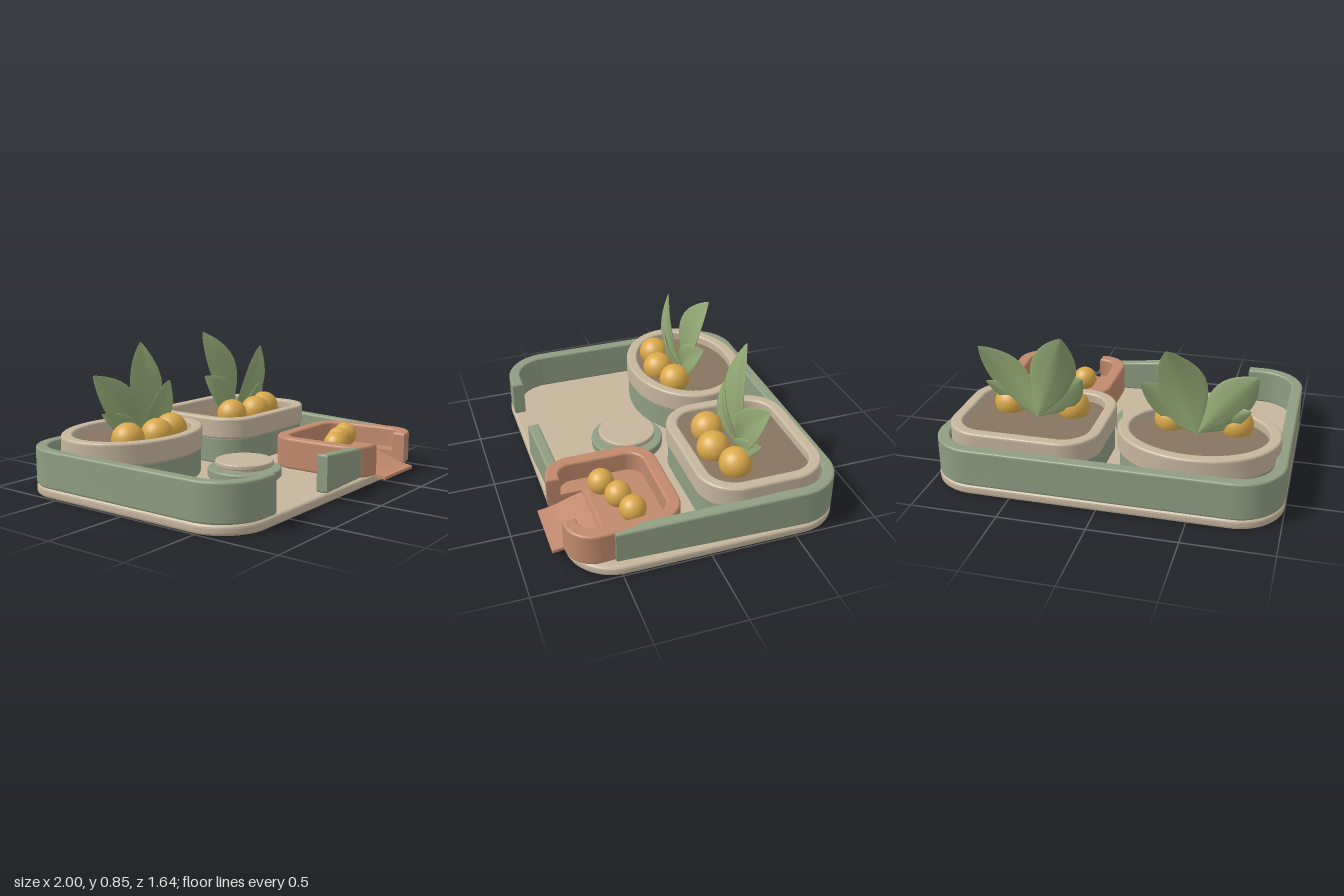
import * as THREE from 'three';
import { toCreasedNormals } from 'three/addons/utils/BufferGeometryUtils.js';

const mat = (name, color) => {
  const m = new THREE.MeshStandardMaterial({ color });
  m.name = name;
  return m;
};

// Shapes are drawn in plan: x to the right, z down (stored as -z)
function roundRect(x0, x1, z0, z1, r, Type = THREE.Shape) {
  const s = new Type();
  s.absarc(x1 - r, -z0 - r, r, 0, Math.PI / 2);
  s.absarc(x0 + r, -z0 - r, r, Math.PI / 2, Math.PI);
  s.absarc(x0 + r, -z1 + r, r, Math.PI, Math.PI * 1.5);
  s.absarc(x1 - r, -z1 + r, r, Math.PI * 1.5, Math.PI * 2);
  s.closePath();
  return s;
}

function ellipse(x, z, rx, rz, Type = THREE.Shape) {
  const s = new Type();
  s.absellipse(x, -z, rx, rz, 0, Math.PI * 2);
  return s;
}

// Strip of given thickness along a path with rounded corners
function wallShape(points, r, thickness) {
  const pts = points.map(([x, z]) => new THREE.Vector2(x, -z));
  const path = new THREE.Path();
  path.moveTo(pts[0].x, pts[0].y);
  for (let i = 1; i < pts.length - 1; i++) {
    const p = pts[i];
    const toward = (q) => p.clone().add(q.clone().sub(p).setLength(r));
    const a = toward(pts[i - 1]), b = toward(pts[i + 1]);
    const c = a.clone().lerp(p, 0.55), d = b.clone().lerp(p, 0.55);
    path.lineTo(a.x, a.y);
    path.bezierCurveTo(c.x, c.y, d.x, d.y, b.x, b.y);
  }
  const last = pts[pts.length - 1];
  path.lineTo(last.x, last.y);
  const line = path.getPoints(14);
  const side = (sign) => line.map((p, i) => {
    const t = line[Math.min(i + 1, line.length - 1)].clone().sub(line[Math.max(i - 1, 0)]).normalize();
    return new THREE.Vector2(p.x - t.y * sign * thickness / 2, p.y + t.x * sign * thickness / 2);
  });
  return new THREE.Shape([...side(1), ...side(-1).reverse()]);
}

// Upright slab from a plan shape; topRule(x, z) may lower the top edge
function slab(shape, y0, y1, bevel = 0.012, topRule = null) {
  const g = new THREE.ExtrudeGeometry(shape, {
    depth: y1 - y0 - 2 * bevel, curveSegments: 24, bevelEnabled: bevel > 0,
    bevelSize: bevel, bevelThickness: bevel, bevelOffset: -bevel, bevelSegments: 3,
  });
  g.rotateX(-Math.PI / 2);
  g.translate(0, y0 + bevel, 0);
  if (topRule) {
    const p = g.attributes.position;
    for (let i = 0; i < p.count; i++) {
      if (p.getY(i) > (y0 + y1) / 2) p.setY(i, p.getY(i) - topRule(p.getX(i), p.getZ(i)));
    }
  }
  return toCreasedNormals(g, 0.25);
}

// Pointed blade, thin, folded along the midrib, tip bent backwards
function leafGeometry(length, halfWidth) {
  const g = new THREE.SphereGeometry(1, 24, 20);
  const p = g.attributes.position;
  for (let i = 0; i < p.count; i++) {
    const v = THREE.MathUtils.clamp((p.getY(i) + 1) / 2, 0, 1);
    const ring = Math.sqrt(Math.max(1 - p.getY(i) ** 2, 1e-8));
    const w = Math.max(Math.sin(Math.PI * Math.pow(v, 1.15)), 0) ** 0.85;
    const x = (p.getX(i) / ring) * w * halfWidth;
    const z = (p.getZ(i) / ring) * w * 0.012 + Math.abs(x) * 0.22 + 0.03 * Math.sin(Math.PI * v) - 0.03 * v * v;
    p.setXYZ(i, x, v * length, z);
  }
  g.computeVertexNormals();
  return g;
}

export function createModel() {
  const sand = mat('sand', 0xc6b59c);
  const sage = mat('sage', 0x8f9d80);
  const coral = mat('coral', 0xc0896d);
  const soil = mat('soil', 0x88745f);
  const gold = mat('gold', 0xd8a84a);
  const leafGreen = mat('leafGreen', 0x91a673);

  const model = new THREE.Group();
  const add = (name, geometry, material, parent = model) => {
    const mesh = new THREE.Mesh(geometry, material);
    mesh.name = name;
    parent.add(mesh);
    return mesh;
  };
  const fruits = (list, r, y, parent) => list.forEach(([x, z]) =>
    add('fruit', new THREE.SphereGeometry(r, 32, 20), gold, parent).position.set(x, y, z));

  // Base plate
  add('base', slab(roundRect(-1, 1, -0.82, 0.745, 0.27), 0, 0.057, 0.018), sand);

  // Perimeter wall, sinking gently towards the tray on the right
  const surround = wallShape([[-0.635, 0.705], [-0.965, 0.705], [-0.965, -0.785], [0.967, -0.785], [0.918, 0.52]], 0.235, 0.07);
  add('surroundWall', slab(surround, 0.057, 0.275, 0.012,
    (x, z) => (x > 0.8 ? 0.032 * THREE.MathUtils.clamp((z + 0.5) / 1, 0, 1) : 0)), sage);
  const front = wallShape([[-0.15, 0.712], [0.28, 0.69]], 0.1, 0.065);
  add('frontWall', slab(front, 0.057, 0.275, 0.012, (x) => 0.04 * (x + 0.15) / 0.43), sage);

  // Tray with front opening and ramp
  const tray = new THREE.Group();
  tray.name = 'tray';
  model.add(tray);
  const trayWall = wallShape([[0.75, 0.72], [0.907, 0.72], [0.872, 0.14], [0.237, 0.14], [0.237, 0.72], [0.39, 0.72]], 0.13, 0.078);
  add('trayWall', slab(trayWall, 0.057, 0.247, 0.014), coral, tray);
  const floor = new THREE.Shape([[0.25, 0.15], [0.88, 0.15], [0.89, 0.7], [0.755, 0.7], [0.755, 0.56],
    [0.385, 0.56], [0.385, 0.7], [0.25, 0.7]].map(([x, z]) => new THREE.Vector2(x, -z)));
  add('trayFloor', slab(floor, 0.057, 0.127, 0), coral, tray);
  const rampSide = new THREE.Shape();
  rampSide.moveTo(0.53, 0.13);
  rampSide.quadraticCurveTo(0.63, 0.105, 0.7, 0.077);
  rampSide.quadraticCurveTo(0.75, 0.06, 0.82, 0.053);
  rampSide.lineTo(0.82, 0.035);
  rampSide.lineTo(0.74, 0.046);
  rampSide.lineTo(0.53, 0.1);
  const ramp = new THREE.ExtrudeGeometry(rampSide, { depth: 0.36, bevelEnabled: false });
  ramp.rotateY(-Math.PI / 2); // profile x becomes z
  ramp.translate(0.75, 0, 0);
  add('ramp', toCreasedNormals(ramp, 0.3), coral, tray);
  fruits([[0.43, 0.455], [0.57, 0.395], [0.715, 0.355]], 0.075, 0.2, tray);

  // Round knob
  const knob = new THREE.Group();
  knob.name = 'knob';
  model.add(knob);
  [['knobBase', 0.22, 0.057, 0.112, sage], ['knobNeck', 0.145, 0.1, 0.13, sand], ['knobCap', 0.175, 0.124, 0.158, sand]]
    .forEach(([name, r, y0, y1, m]) => add(name, slab(ellipse(-0.09, 0.14, r, r), y0, y1, 0.01), m, knob));

  // Planters: sage foot, sand rim with hole, soil, fruit and leaves
  const planters = [
    {
      name: 'ovalPlanter', x: -0.47,
      outline: (inset, Type) => ellipse(-0.487, -0.38, 0.463 - inset, 0.365 - inset, Type),
      fruit: [[-0.68, -0.24], [-0.48, -0.2], [-0.3, -0.25]],
      leaves: [[0.16, 0.54, 0.14, -0.02, -0.06], [-0.33, 0.39, 0.115, 0.0, 0.01],
        [0.32, 0.29, 0.095, 0.0, 0.01], [-0.3, 0.17, 0.06, 0.02, 0.02]],
    },
    {
      name: 'squarePlanter', x: 0.47,
      outline: (inset, Type) => roundRect(0.037 + inset, 0.925 - inset, -0.748 + inset, -0.01 - inset, 0.22 - inset, Type),
      fruit: [[0.29, -0.24], [0.49, -0.2], [0.675, -0.26]],
      leaves: [[-0.19, 0.555, 0.135, -0.02, -0.06], [0.34, 0.42, 0.11, 0.0, 0.01],
        [-0.28, 0.275, 0.095, 0.0, 0.01], [0.32, 0.19, 0.06, 0.02, 0.02]],
    },
  ];
  planters.forEach(({ name, x, outline, fruit, leaves }) => {
    const g = new THREE.Group();
    g.name = name;
    model.add(g);
    add('planterFoot', slab(outline(0.012), 0.057, 0.22, 0.01), sage, g);
    const rim = outline(0);
    rim.holes.push(outline(0.068, THREE.Path));
    add('planterRim', slab(rim, 0.215, 0.345, 0.014), sand, g);
    add('soilBed', slab(outline(0.06), 0.215, 0.29, 0), soil, g);
    fruits(fruit, 0.095, 0.33, g);
    // Each leaf: tip dx, tip dy, half width, root dz, tip dz
    leaves.forEach(([dx, dy, hw, z, dz]) => {
      const leaf = add('leaf', leafGeometry(Math.hypot(dx, dy), hw), leafGreen, g);
      leaf.position.set(x, 0.3, -0.365 + z);
      leaf.rotation.set(Math.atan2(dz, dy), 0, -Math.atan2(dx, dy));
    });
  });

  return model;
}
